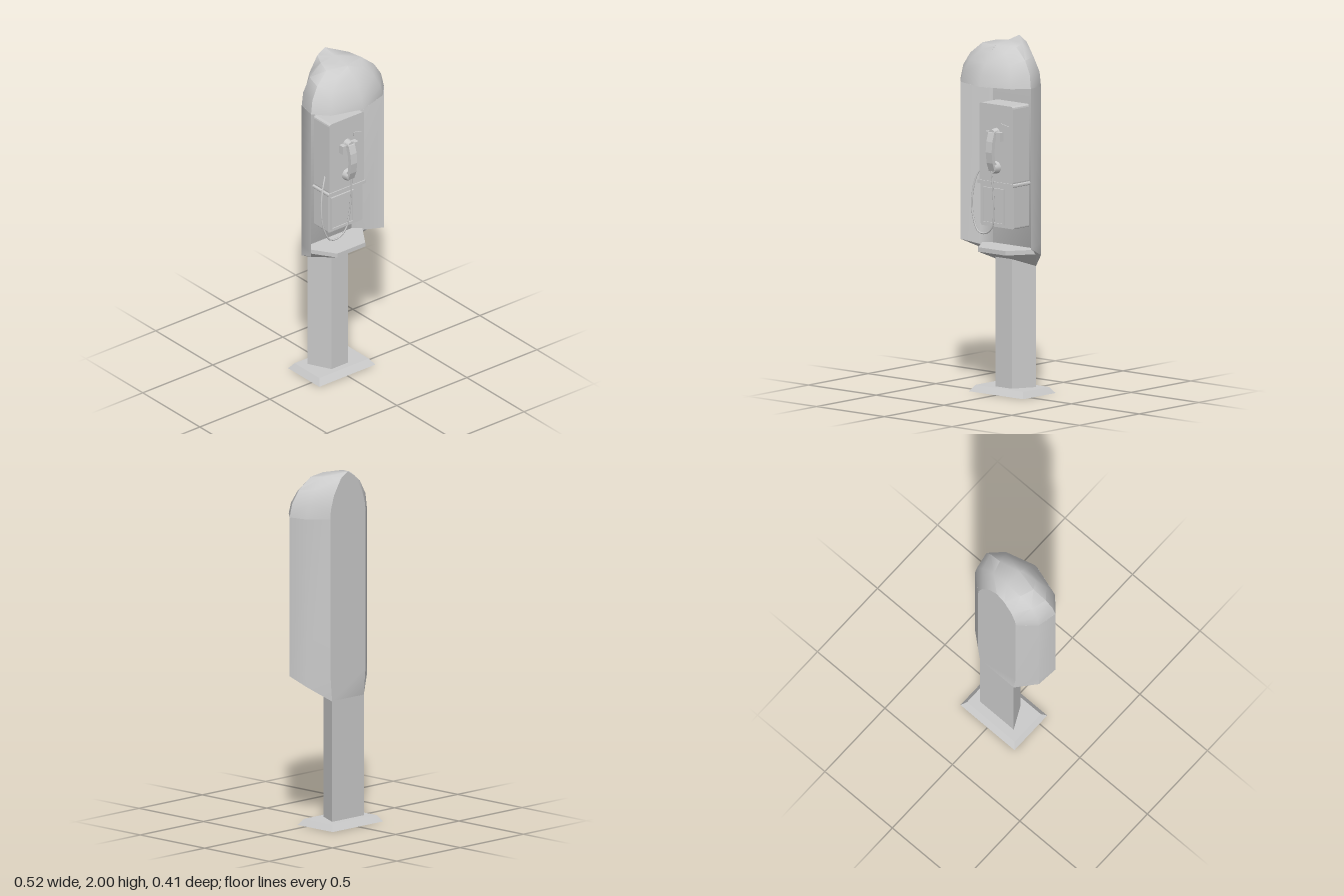
import * as THREE from 'three';
import { toCreasedNormals } from 'three/addons/utils/BufferGeometryUtils.js';
import { ConvexGeometry } from 'three/addons/geometries/ConvexGeometry.js';

const solid = new THREE.MeshStandardMaterial({ color: 0xcccccc });
const thin = new THREE.MeshStandardMaterial({ color: 0xcccccc, side: THREE.DoubleSide });

// Skin between rows of [x, y, z] points; edges sharper than crease stay hard
function loft(rows, crease, closed = false) {
  const pos = [];
  for (let i = 0; i + 1 < rows.length; i++) {
    const n = rows[i].length;
    for (let j = 0; j < (closed ? n : n - 1); j++) {
      const k = (j + 1) % n;
      const a = rows[i][j], b = rows[i][k], c = rows[i + 1][k], d = rows[i + 1][j];
      pos.push(...a, ...b, ...c, ...a, ...c, ...d);
    }
  }
  const g = new THREE.BufferGeometry();
  g.setAttribute('position', new THREE.Float32BufferAttribute(pos, 3));
  return toCreasedNormals(g, crease);
}

const flip = ([x, y, z]) => [-x, y, z];
const bothSides = pts => pts.concat(pts.map(flip));
const hull = half => new ConvexGeometry(bothSides(half).map(p => new THREE.Vector3(...p)));

function roundedPlate(x0, x1, y0, y1, z0, z1, r) {
  const s = new THREE.Shape();
  s.moveTo(x0 + r, y0);
  s.lineTo(x1 - r, y0); s.quadraticCurveTo(x1, y0, x1, y0 + r);
  s.lineTo(x1, y1 - r); s.quadraticCurveTo(x1, y1, x1 - r, y1);
  s.lineTo(x0 + r, y1); s.quadraticCurveTo(x0, y1, x0, y1 - r);
  s.lineTo(x0, y0 + r); s.quadraticCurveTo(x0, y0, x0 + r, y0);
  const g = new THREE.ExtrudeGeometry(s, { depth: z1 - z0, bevelEnabled: false, curveSegments: 3 });
  return g.translate(0, 0, z0);
}

export function createModel() {
  const model = new THREE.Group();
  const add = (name, geometry, material = solid, parent = model) => {
    const m = new THREE.Mesh(geometry, material);
    m.name = name;
    parent.add(m);
    return m;
  };
  const box = (name, x0, x1, y0, y1, z0, z1, parent) =>
    add(name, new THREE.BoxGeometry(x1 - x0, y1 - y0, z1 - z0)
      .translate((x0 + x1) / 2, (y0 + y1) / 2, (z0 + z1) / 2), solid, parent);

  // Base plate with sloped rim and a recess below
  const rect = (y, hx, z0, z1) => [[-hx, y, z1], [hx, y, z1], [hx, y, z0], [-hx, y, z0]];
  add('basePlate', loft([
    rect(0.03, 0, -0.07, -0.07), rect(0.03, 0.06, -0.11, -0.03), rect(0, 0.1, -0.13, -0.01),
    rect(0, 0.2, -0.208, 0.065), rect(0.035, 0.176, -0.181, 0.038), rect(0.035, 0, -0.07, -0.07),
  ], 0.2, true));

  // Post, flat at the back and tapered to the front
  add('post', hull([
    [0.125, 0.032, -0.13], [0.06, 0.032, 0], [0.125, 0.718, -0.13], [0.06, 0.766, 0],
  ]));

  // Shelf with sloped underside
  add('shelf', hull([
    [0.1, 0.825, 0.1], [0.1, 0.8, 0.1], [0.2, 0.825, -0.05], [0.2, 0.8, -0.05],
    [0.125, 0.715, -0.13], [0.125, 0.825, -0.128],
  ]));

  // Wrap-around walls, inside and outside
  const wrap = half => half.concat(half.map(flip).reverse());
  add('walls', loft([
    wrap([[0.26, 1.75, 0.067], [0.2, 1.75, -0.03], [0.145, 1.75, -0.075]]),
    wrap([[0.26, 0.85, 0.067], [0.2, 0.815, -0.03], [0.145, 0.8, -0.075]]),
    wrap([[0.26, 0.85, 0.067], [0.236, 0.8, -0.045], [0.125, 0.716, -0.13]]),
    wrap([[0.26, 0.87, 0.067], [0.236, 0.87, -0.045], [0.139, 0.87, -0.13]]),
    wrap([[0.26, 1.75, 0.067], [0.236, 1.75, -0.045], [0.139, 1.75, -0.13]]),
  ], 0.68), thin);

  // Domed hood: ribs from the back arch round to the front tip
  const ribs = [
    [[0.139, 1.75, -0.13], [0.135, 1.8, -0.13], [0.11, 1.88, -0.13], [0.055, 1.968, -0.13], [0, 2, -0.13]],
    [[0.236, 1.75, -0.045], [0.225, 1.83, -0.045], [0.18, 1.91, -0.045], [0.1, 1.972, -0.045], [0, 1.985, -0.045]],
    [[0.26, 1.75, 0.067], [0.245, 1.83, 0.06], [0.203, 1.9, 0.05], [0.125, 1.965, 0.035], [0, 1.968, 0.06]],
    [[0.185, 1.75, 0.148], [0.175, 1.81, 0.14], [0.15, 1.875, 0.115], [0.09, 1.935, 0.09], [0, 1.966, 0.066]],
    [[0, 1.75, 0.205], [0, 1.81, 0.19], [0, 1.875, 0.156], [0, 1.93, 0.112], [0, 1.965, 0.07]],
  ];
  const levels = [0, 1, 2, 3, 4].map(k => {
    const half = ribs.map(r => r[k]);
    return half.map(flip).concat(half.slice(0, -1).reverse());
  });
  add('hood', loft(levels, 0.8), thin);

  // Flat back of the hood
  const arch = new THREE.Shape(wrap(ribs[0]).map(p => new THREE.Vector2(p[0], p[1])));
  add('hoodBack', new THREE.ShapeGeometry(arch).translate(0, 0, -0.13), thin);

  // Ceiling under the hood and its lamp
  const plan = new THREE.Shape(levels[0].map(p => new THREE.Vector2(p[0], p[2])));
  add('ceiling', new THREE.ShapeGeometry(plan).rotateX(Math.PI / 2).translate(0, 1.751, 0), thin);
  box('ceilingLamp', -0.14, 0.14, 1.736, 1.752, 0.02, 0.115);

  // Telephone body
  const phone = new THREE.Group();
  phone.name = 'telephone';
  model.add(phone);
  add('upperCase', roundedPlate(-0.125, 0.122, 1.19, 1.632, -0.085, 0.062, 0.015), solid, phone);
  add('lowerCase', roundedPlate(-0.125, 0.122, 0.942, 1.19, -0.085, 0.05, 0.01), solid, phone);
  add('ledge', roundedPlate(-0.135, 0.132, 1.178, 1.198, -0.08, 0.068, 0.008), solid, phone);

  // Door on the lower case with a raised frame
  box('coinDoor', -0.1, 0.045, 0.966, 1.152, 0.04, 0.054, phone);
  for (const x of [-0.108, 0.045]) box('doorFrameSide', x, x + 0.008, 0.958, 1.16, 0.04, 0.06, phone);
  for (const y of [0.958, 1.152]) box('doorFrameEnd', -0.1, 0.045, y, y + 0.008, 0.04, 0.06, phone);

  // Coin chute
  const chute = new THREE.Shape([[0.04, 1.53], [0.046, 1.505], [0.1, 1.517]].map(p => new THREE.Vector2(...p)));
  add('coinChute', new THREE.ExtrudeGeometry(chute, { depth: 0.012, bevelEnabled: false })
    .translate(0, 0, 0.056), solid, phone);

  // Cradle
  box('cradlePlate', -0.05, 0.05, 1.445, 1.475, 0.055, 0.078, phone);
  for (const s of [-1, 1]) {
    const x = s * 0.042;
    box('cradleHook', x - 0.013, x + 0.013, 1.432, 1.482, 0.055, 0.095, phone);
  }

  // Handset: curved grip and round ends
  const side = new THREE.Shape([
    [0.075, 1.262], [0.1, 1.262], [0.118, 1.31], [0.126, 1.37], [0.12, 1.43], [0.104, 1.48], [0.078, 1.492],
    [0.078, 1.462], [0.095, 1.43], [0.102, 1.37], [0.096, 1.315], [0.075, 1.295],
  ].map(p => new THREE.Vector2(...p)));
  add('handsetGrip', new THREE.ExtrudeGeometry(side, { depth: 0.044, bevelEnabled: false })
    .rotateY(-Math.PI / 2).translate(0.022, 0, 0), solid, phone);
  for (const [name, y, r] of [['mouthpiece', 1.28, 0.036], ['earpiece', 1.475, 0.028]]) {
    add(name, new THREE.CylinderGeometry(r * 0.8, r, 0.04, 10)
      .rotateX(Math.PI / 2).translate(0, y, 0.08), solid, phone);
  }

  // Cord looping from the mouthpiece to the side of the case
  const cord = new THREE.CatmullRomCurve3([
    [0, 1.265, 0.102], [0.004, 1.15, 0.093], [0, 1.03, 0.082], [-0.02, 0.94, 0.075], [-0.07, 0.903, 0.072],
    [-0.125, 0.908, 0.07], [-0.165, 0.98, 0.066], [-0.18, 1.09, 0.06], [-0.162, 1.21, 0.045], [-0.122, 1.29, 0.02],
  ].map(p => new THREE.Vector3(...p)));
  add('cord', new THREE.TubeGeometry(cord, 36, 0.005, 6), solid, phone);

  return model;
}
